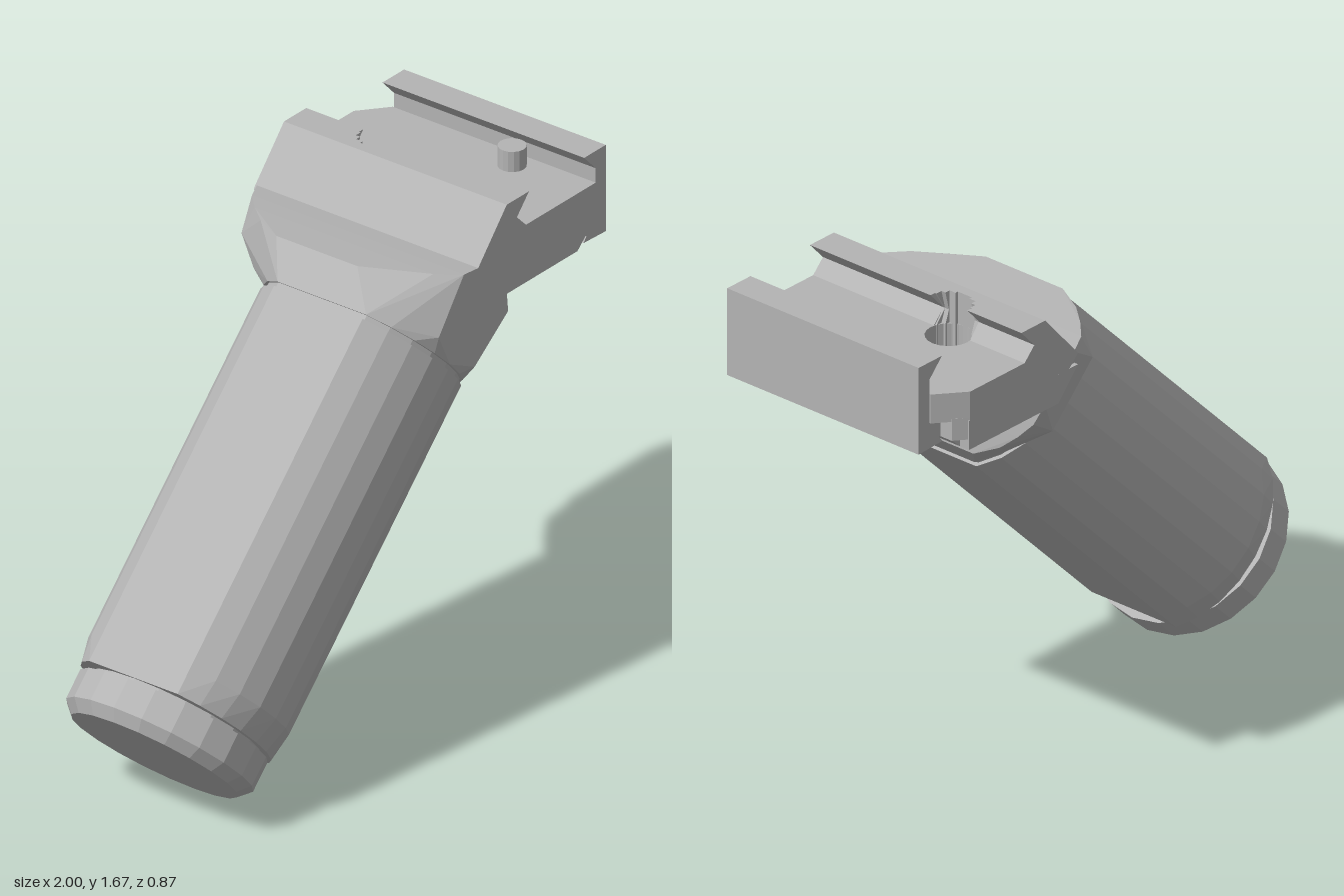
import * as THREE from 'three';
import { ConvexGeometry } from 'three/addons/geometries/ConvexGeometry.js';

const gray = new THREE.MeshStandardMaterial({ color: 0xb4b4b4 });
gray.name = 'matteGray';

function add(parent, name, geometry) {
  if (geometry.index) geometry = geometry.toNonIndexed();
  geometry.computeVertexNormals(); // faceted look
  const mesh = new THREE.Mesh(geometry, gray);
  mesh.name = name;
  parent.add(mesh);
  return mesh;
}

// Ring with two flats (at x = +-half) and two faceted round sides reaching z = +-reach
function ring(y, half, reach, flat = 0.172) {
  const pts = [], n = 8, a = Math.asin(0.297 / 0.34);
  const edge = Math.cos(a);
  for (const side of [1, -1]) {
    for (let i = 0; i <= n; i++) {
      const t = -a + (2 * a * i) / n;
      const bulge = (Math.cos(t) - edge) / (1 - edge);
      pts.push(new THREE.Vector3(half * Math.sin(t) / Math.sin(a), y, side * (flat + (reach - flat) * bulge)));
    }
  }
  return pts;
}

function shape(points) {
  return new THREE.Shape(points.map(p => new THREE.Vector2(p[0], p[1])));
}

// Profile in x,y extruded from z0 to z1
function alongZ(points, z0, z1) {
  return new THREE.ExtrudeGeometry(shape(points), { depth: z1 - z0, bevelEnabled: false }).translate(0, 0, z0);
}

// Plan in x,-z extruded from y0 to y1
function alongY(plan, y0, y1) {
  return new THREE.ExtrudeGeometry(plan, { depth: y1 - y0, bevelEnabled: false, curveSegments: 10 })
    .rotateX(-Math.PI / 2).translate(0, y0, 0);
}

function createGrip() {
  const grip = new THREE.Group();
  grip.name = 'grip';
  grip.position.set(-0.505, 0.505, 0.09);
  grip.rotation.z = -Math.PI / 4;

  // Handle with flattened sides and a bevelled foot
  add(grip, 'handle', new ConvexGeometry([
    ...ring(-0.27, 0.297, 0.312), ...ring(-0.18, 0.297, 0.34), ...ring(1.025, 0.297, 0.34)]));
  add(grip, 'collar', new ConvexGeometry([...ring(1.0, 0.284, 0.325), ...ring(1.06, 0.284, 0.325)]));

  // Round end cap
  add(grip, 'capNeck', new THREE.CylinderGeometry(0.29, 0.29, 0.06, 20).translate(0, -0.28, 0));
  add(grip, 'endCap', new THREE.CylinderGeometry(0.32, 0.32, 0.1, 20).translate(0, -0.333, 0));
  add(grip, 'capBevel', new THREE.CylinderGeometry(0.32, 0.284, 0.037, 20).translate(0, -0.4015, 0));

  // Head flaring from the handle to the wide clamp: [height, half width, zMin, zMax]
  const head = ring(1.042, 0.29, 0.338);
  const rows = [
    [1.085, 0.125, -0.29, 0.43],
    [1.174, 0.29, -0.16, 0.155],
    [1.174, 0.13, -0.385, 0.43],
    [1.21, 0.247, -0.265, 0.26],
    [1.25, 0.203, -0.335, 0.36],
    [1.29, 0.155, -0.395, 0.43],
    [1.34, 0.094, -0.435, 0.43],
  ];
  for (const [y, half, z0, z1] of rows)
    for (const x of [-half, half])
      for (const z of [z0, z1]) head.push(new THREE.Vector3(x, y, z - 0.09));
  add(grip, 'head', new ConvexGeometry(head));
  return grip;
}

function createClamp() {
  const clamp = new THREE.Group();
  clamp.name = 'railClamp';
  const back = -0.437, front = 0.43;
  const hole = { x: 0.62, z: -0.14, r: 0.075 };

  add(clamp, 'clampBase', alongZ(
    [[0.36, 1.47], [0.45, 1.37], [0.86, 1.37], [0.86, 1.47]], back, front));

  // Rail floor with the round pocket
  const floor = shape([[0.5, -front], [0.95, -front], [0.95, 0.36], [0.855, -back], [0.5, -back]]);
  floor.holes.push(new THREE.Path().absarc(hole.x, -hole.z, hole.r, 0, Math.PI * 2, true));
  add(clamp, 'railFloor', alongY(floor, 1.47, 1.57));

  // Floor end with its clipped corner, rising underneath
  add(clamp, 'floorEnd', alongY(
    shape([[0.84, -front], [0.9, -front], [0.9, 0.402], [0.855, -back], [0.84, -back]]), 1.405, 1.48));
  add(clamp, 'floorEndBevel', alongZ([[0.85, 1.37], [0.86, 1.37], [0.9, 1.406], [0.85, 1.406]], -0.4, front));
  add(clamp, 'jawRoot', alongZ([[0.89, 1.405], [0.96, 1.405], [0.96, 1.5], [0.89, 1.5]], -0.355, front));

  // Fixed hook, scooped by the round pocket
  const hook = [[0.36, 1.51], [0.4, 1.47], [0.6, 1.47], [0.605, 1.57], [0.56, 1.615], [0.62, 1.68], [0.51, 1.68]];
  const strips = 8;
  const cuts = [back];
  for (let i = 0; i <= strips; i++) cuts.push(hole.z - hole.r * Math.cos((Math.PI * i) / strips));
  cuts.push(front);
  for (let i = 0; i < cuts.length - 1; i++) {
    const inside = i > 0 && i < cuts.length - 2;
    const d = (cuts[i] + cuts[i + 1]) / 2 - hole.z;
    const limit = inside ? hole.x - Math.sqrt(hole.r ** 2 - d ** 2) : 1;
    add(clamp, 'fixedHook', alongZ(hook.map(([x, y]) => [Math.min(x, limit), y]), cuts[i], cuts[i + 1]));
  }

  // Outer jaw and locating pin
  add(clamp, 'outerJaw', alongZ([[0.89, 1.385], [1, 1.38], [1, 1.68], [0.893, 1.68], [0.95, 1.62],
    [0.95, 1.41], [0.91, 1.41]], -0.355, front));
  add(clamp, 'locatingPin', new THREE.CylinderGeometry(0.045, 0.045, 0.08, 16).translate(0.88, 1.6, 0.16));
  return clamp;
}

export function createModel() {
  const model = new THREE.Group();
  model.name = 'angledGrip';
  model.add(createGrip(), createClamp());
  return model;
}
